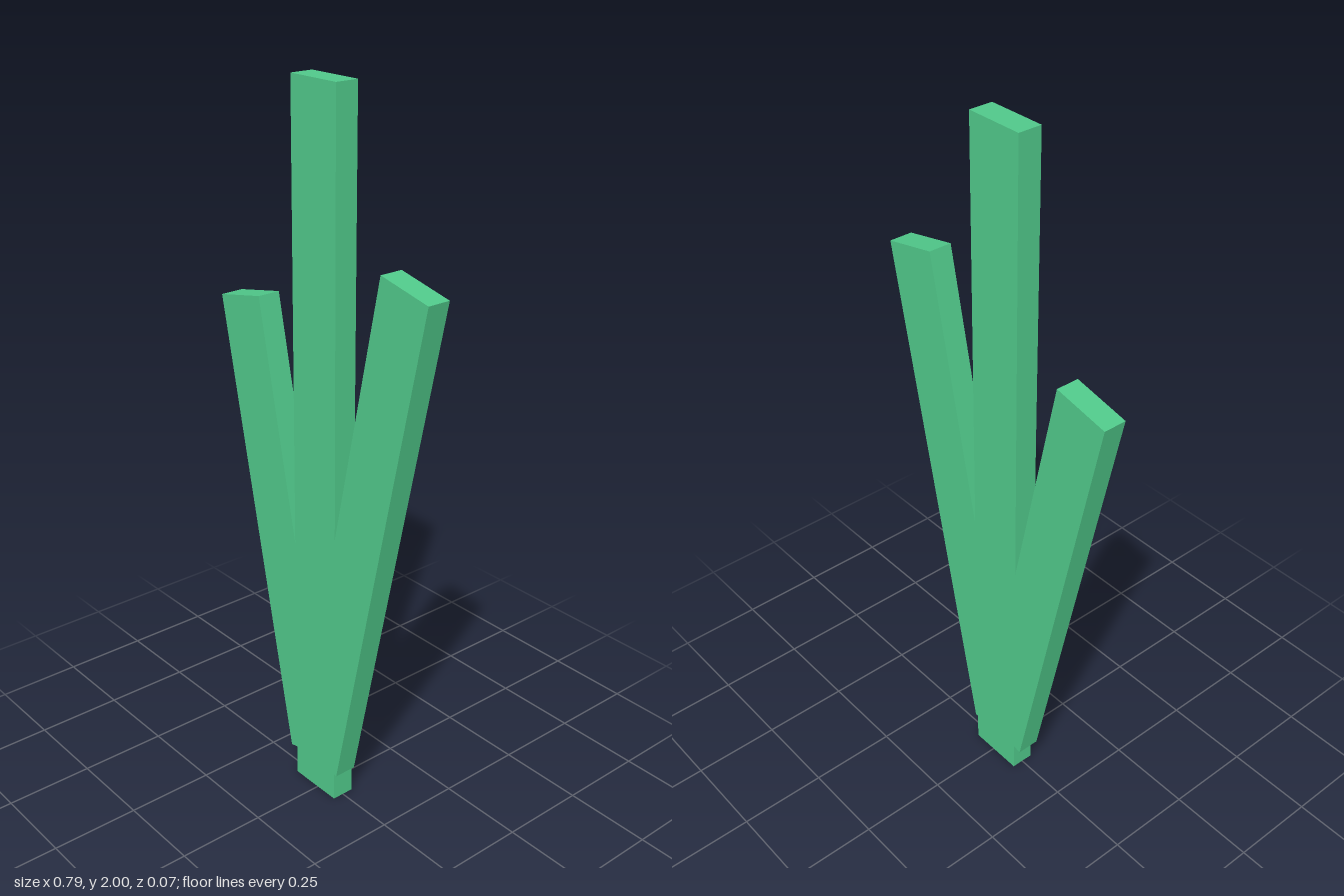
import * as THREE from 'three';

const WIDTH = 0.165;
const DEPTH = 0.066;
const LEAN = THREE.MathUtils.degToRad(12);

export function createModel() {
  const model = new THREE.Group();
  model.name = 'grassTuft';
  const green = new THREE.MeshStandardMaterial({ color: 0x50c88a });
  green.name = 'grassGreen';

  // A flat blade standing on the centre of its lower end, leaning about z
  function addBlade(name, x, y, length, lean) {
    const geometry = new THREE.BoxGeometry(WIDTH, length, DEPTH);
    geometry.translate(0, length / 2, 0);
    const blade = new THREE.Mesh(geometry, green);
    blade.name = name;
    blade.position.set(x, y, 0);
    blade.rotation.z = lean;
    model.add(blade);
  }

  addBlade('middleBlade', -0.01, 0, 2, 0);
  addBlade('leftBlade', 0.001, 0.1, 1.502, -LEAN);
  addBlade('rightBlade', -0.037, 0.1, 1.332, LEAN);

  return model;
}
